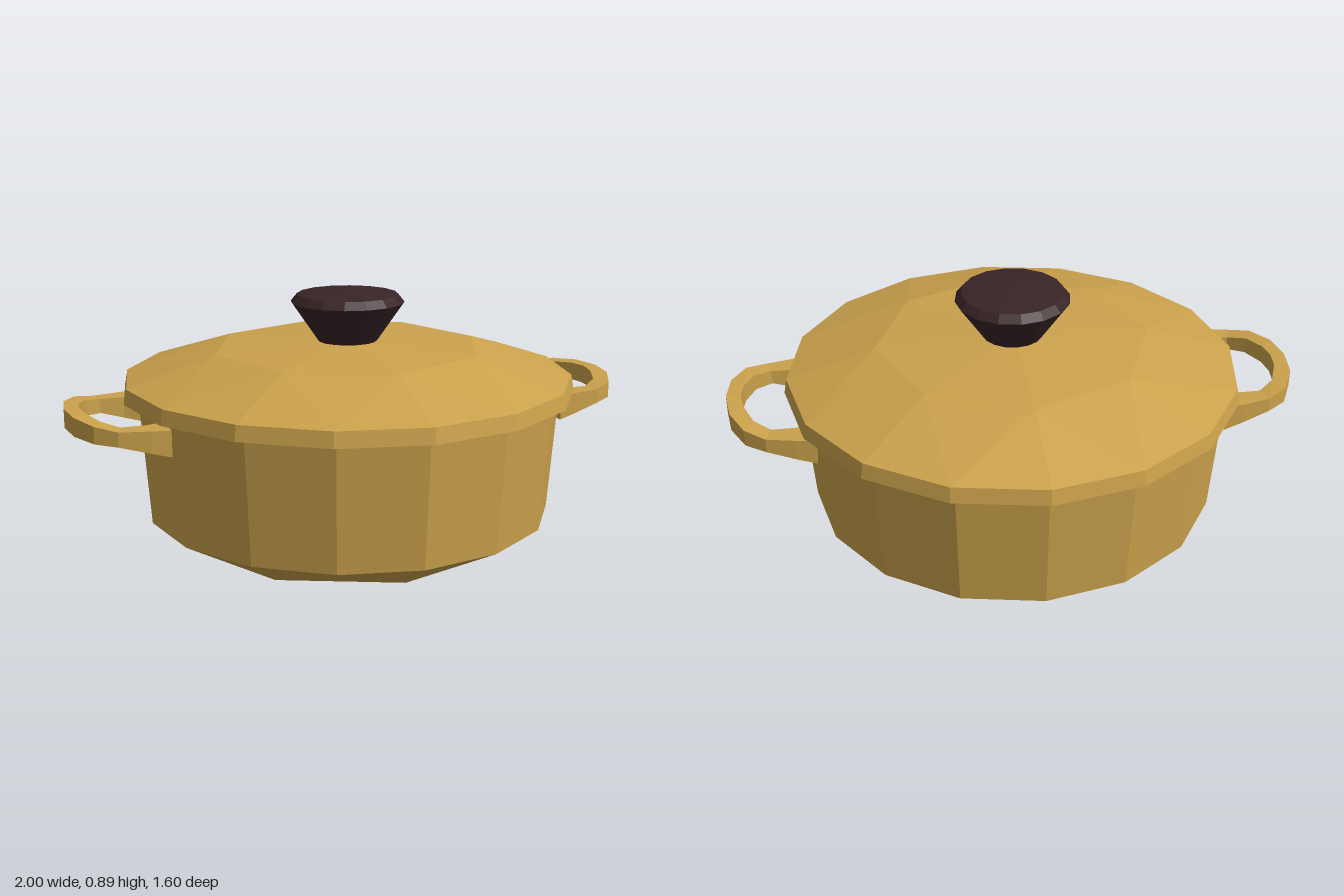
import * as THREE from 'three';

const enamel = new THREE.MeshStandardMaterial({ color: 0xcba24c, flatShading: true });
enamel.name = 'gold enamel';
const darkKnob = new THREE.MeshStandardMaterial({ color: 0x382426, flatShading: true });
darkKnob.name = 'dark brown knob';

function flatGeometry(points) {
  const geo = new THREE.BufferGeometry().setFromPoints(points);
  geo.computeVertexNormals();
  return geo;
}

// Faceted shell through rings [sides, radius, y]; neighbouring rings may differ in sides
function facetShell(rings) {
  const at = ([n, r, y], i) => {
    const a = (i / n) * Math.PI * 2;
    return new THREE.Vector3(r * Math.cos(a), y, -r * Math.sin(a));
  };
  const tris = [];
  for (let k = 0; k < rings.length - 1; k++) {
    const low = rings[k], high = rings[k + 1];
    let i = 0, j = 0;
    while (i < low[0] || j < high[0]) {
      const stepLow = j >= high[0] || (i < low[0] && (i + 0.5) / low[0] < (j + 0.5) / high[0]);
      if (stepLow) {
        if (low[0] > 1) tris.push(at(low, i), at(low, i + 1), at(high, j));
        i++;
      } else {
        if (high[0] > 1) tris.push(at(low, i), at(high, j + 1), at(high, j));
        j++;
      }
    }
  }
  return flatGeometry(tris);
}

// Loop handle: rectangular cross-sections swept from the back wall to the front wall
function handleGeometry() {
  // half outline in plan: [outer x, outer z, inner x, inner z]
  const half = [
    [0.70, 0.29, 0.70, 0.18],
    [0.765, 0.28, 0.765, 0.198],
    [0.866, 0.257, 0.848, 0.198],
    [0.936, 0.213, 0.905, 0.155],
    [0.985, 0.115, 0.94, 0.07],
    [1.0, 0.0, 0.949, 0.0],
  ];
  const mirrored = half.slice(0, -1).reverse().map(([a, b, c, d]) => [a, -b, c, -d]);
  const topY = x => (x < 0.866 ? 0.51 : 0.51 + (x - 0.866) * 0.2);
  const bottomY = x => (x < 0.866 ? 0.42 + (x - 0.7) * 0.24 : 0.46 + (x - 0.866) * 0.08);
  const sections = [...half, ...mirrored].map(([ox, oz, ix, iz]) => [
    new THREE.Vector3(ox, bottomY(ox), oz),
    new THREE.Vector3(ox, topY(ox), oz),
    new THREE.Vector3(ix, topY(ox), iz),
    new THREE.Vector3(ix, bottomY(ox), iz),
  ]);
  const tris = [];
  const quad = (a, b, c, d) => tris.push(a, b, c, a, c, d);
  for (let s = 0; s < sections.length - 1; s++) {
    const p = sections[s], q = sections[s + 1];
    for (let i = 0; i < 4; i++) {
      const n = (i + 1) % 4;
      quad(p[i], q[i], q[n], p[n]);
    }
  }
  const first = sections[0], last = sections[sections.length - 1];
  quad(first[0], first[1], first[2], first[3]);
  quad(last[3], last[2], last[1], last[0]);
  return flatGeometry(tris);
}

export function createModel() {
  const pot = new THREE.Group();
  pot.name = 'casserolePot';
  const add = (name, geo, mat) => {
    const mesh = new THREE.Mesh(geo, mat);
    mesh.name = name;
    pot.add(mesh);
    return mesh;
  };

  // Body: octagonal foot widening into a sixteen-sided wall
  const body = add('body', facetShell([
    [1, 0, 0], [8, 0.567, 0], [16, 0.728, 0.103], [16, 0.76, 0.535],
  ]), enamel);
  body.scale.x = 0.985;

  // Lid: overhanging rim and a faceted dome
  add('lid', facetShell([
    [1, 0, 0.53], [16, 0.8, 0.533], [16, 0.79, 0.585], [8, 0.48, 0.683], [8, 0.1, 0.703], [1, 0, 0.703],
  ]), enamel);

  // Flared knob
  add('lidKnob', facetShell([
    [1, 0, 0.695], [16, 0.1, 0.695], [16, 0.2, 0.84], [16, 0.178, 0.867], [1, 0, 0.89],
  ]), darkKnob);

  // Side handles
  const handle = handleGeometry();
  add('leftHandle', handle, enamel);
  add('rightHandle', handle, enamel).rotation.y = Math.PI;

  return pot;
}
